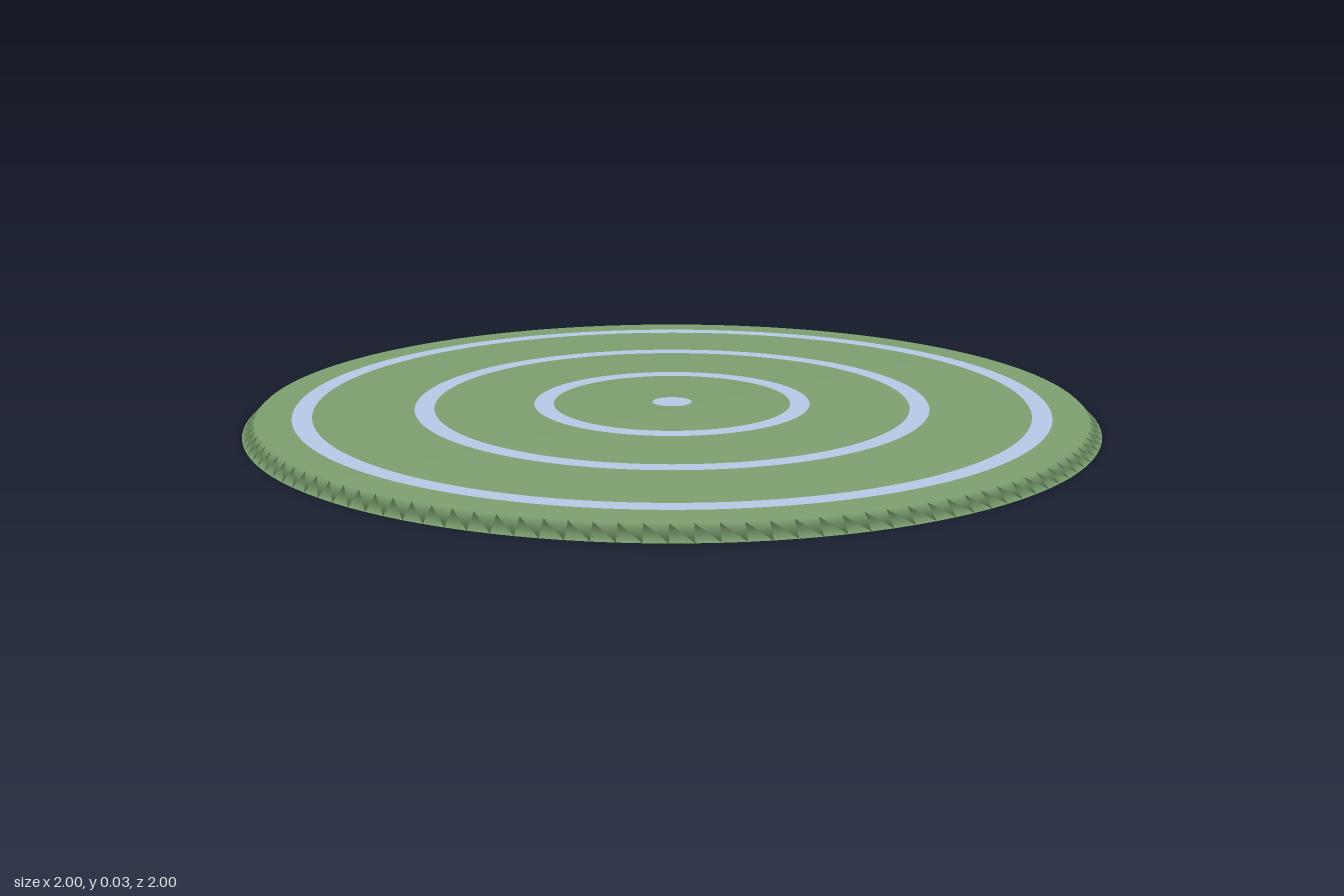
import * as THREE from 'three';

export function createModel() {
  const group = new THREE.Group();
  const green = new THREE.MeshStandardMaterial({ color: 0x7a9e6e });
  const blue = new THREE.MeshStandardMaterial({ color: 0xb4c8e4 });
  const top = 0.03;

  // Thin disc with a sloping rim, smooth shaded from face to face
  const profile = [[0, 0], [1, 0], [0.97, top], [0, top]].map(([r, y]) => new THREE.Vector2(r, y));
  const disc = new THREE.Mesh(new THREE.LatheGeometry(profile, 128), green);
  disc.name = 'disc';
  group.add(disc);

  // Flat inlays lying just above the top face
  const addInlay = (name, geometry) => {
    const mesh = new THREE.Mesh(geometry.rotateX(-Math.PI / 2), blue);
    mesh.position.y = top + 0.001;
    mesh.name = name;
    group.add(mesh);
  };
  const halfWidth = 0.023;
  addInlay('centreDot', new THREE.CircleGeometry(0.047, 48));
  ['innerRing', 'middleRing', 'outerRing'].forEach((name, i) => {
    const radius = 0.304 + i * 0.2805;
    addInlay(name, new THREE.RingGeometry(radius - halfWidth, radius + halfWidth, 128));
  });

  return group;
}
